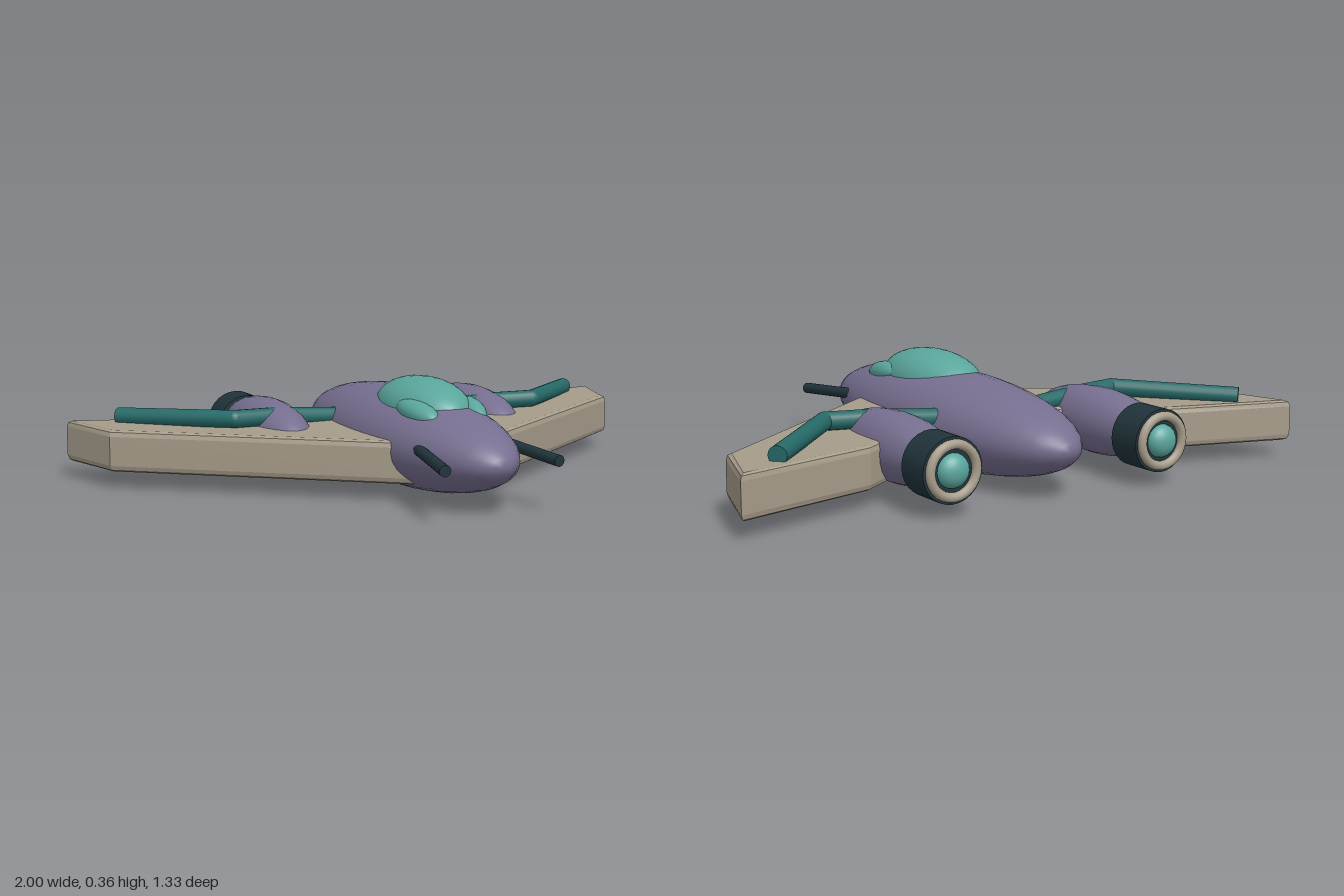
import * as THREE from 'three';

const mat = (name, color) => {
  const m = new THREE.MeshStandardMaterial({ color });
  m.name = name;
  return m;
};

export function createModel() {
  const purple = mat('hull purple', 0x776f90);
  const beige = mat('wing beige', 0xa69c8a);
  const aqua = mat('glass aqua', 0x5aa69d);
  const teal = mat('pipe teal', 0x256a68);
  const dark = mat('dark metal', 0x20343b);

  const model = new THREE.Group();
  model.name = 'aircraft';

  const add = (name, geometry, material, position = [0, 0, 0], parent = model) => {
    const mesh = new THREE.Mesh(geometry, material);
    mesh.name = name;
    mesh.position.set(...position);
    parent.add(mesh);
    return mesh;
  };

  // Ellipsoid with its poles on the z axis
  const ellipsoid = (rx, ry, rz, w = 32, h = 20) =>
    new THREE.SphereGeometry(1, w, h).rotateX(Math.PI / 2).scale(rx, ry, rz);

  // Straight capped rod between two points
  const rod = (name, a, b, radius, material, parent) => {
    const from = new THREE.Vector3(...a), to = new THREE.Vector3(...b);
    const dir = to.clone().sub(from);
    const mesh = add(name, new THREE.CylinderGeometry(radius, radius, dir.length(), 16), material,
      from.clone().lerp(to, 0.5).toArray(), parent);
    mesh.quaternion.setFromUnitVectors(new THREE.Vector3(0, 1, 0), dir.normalize());
  };

  // Fuselage and canopy
  add('fuselage', ellipsoid(0.215, 0.155, 0.662), purple, [0, 0.16, 0]);
  add('canopy', ellipsoid(0.13, 0.1, 0.24), aqua, [0, 0.266, 0.12]);

  // Swept wing, one bevelled slab running through the fuselage
  const half = [[0.05, 0.4], [0.925, -0.268], [1, -0.53], [0.53, -0.408], [0.1, -0.115]];
  const outline = [...half, ...half.map(([x, z]) => [-x, z]).reverse()];
  const wingShape = new THREE.Shape(outline.map(([x, z]) => new THREE.Vector2(x, -z)));
  const wing = new THREE.ExtrudeGeometry(wingShape, {
    depth: 0.095, bevelThickness: 0.02, bevelSize: 0.016, bevelOffset: -0.016, bevelSegments: 2,
  }).rotateX(-Math.PI / 2);
  add('wing', wing, beige, [0, 0.08, 0]);

  for (const s of [1, -1]) {
    const side = new THREE.Group();
    side.name = s > 0 ? 'leftSide' : 'rightSide';
    model.add(side);

    // Small glass blister beside the canopy
    const blister = add('canopyBlister', ellipsoid(0.042, 0.037, 0.11, 20, 14), aqua, [s * 0.09, 0.274, 0.272], side);
    blister.rotation.set(0.12, -s * 0.12, 0);

    // Engine nacelle with exhaust collar, ring and glowing core
    const engine = new THREE.Group();
    engine.name = 'engine';
    engine.position.set(s * 0.38, 0.145, 0);
    side.add(engine);
    add('nacelle', ellipsoid(0.108, 0.108, 0.305, 24, 18), purple, [0, 0.011, -0.295], engine);
    add('exhaustCollar', new THREE.CylinderGeometry(0.1, 0.1, 0.12, 28).rotateX(Math.PI / 2), dark, [0, 0, -0.556], engine);
    add('exhaustRing', new THREE.TorusGeometry(0.078, 0.015, 10, 28), beige, [0, 0, -0.62], engine);
    add('exhaustCore', ellipsoid(0.053, 0.053, 0.04, 20, 14), aqua, [0, 0, -0.613], engine);

    // Bent pipe across the wing and nacelle
    const path = [[0.17, 0.205, -0.193], [0.4, 0.222, -0.167], [0.545, 0.225, -0.145], [0.847, 0.212, -0.443]]
      .map(([x, y, z]) => [s * x, y, z]);
    for (let i = 0; i < path.length - 1; i++) {
      rod('pipe', path[i], path[i + 1], 0.029, teal, side);
      if (i) add('pipeJoint', new THREE.SphereGeometry(0.029, 16, 12), teal, path[i], side);
    }

    // Nose gun
    rod('gun', [s * 0.14, 0.188, 0.34], [s * 0.189, 0.167, 0.665], 0.018, dark, side);
  }

  return model;
}
